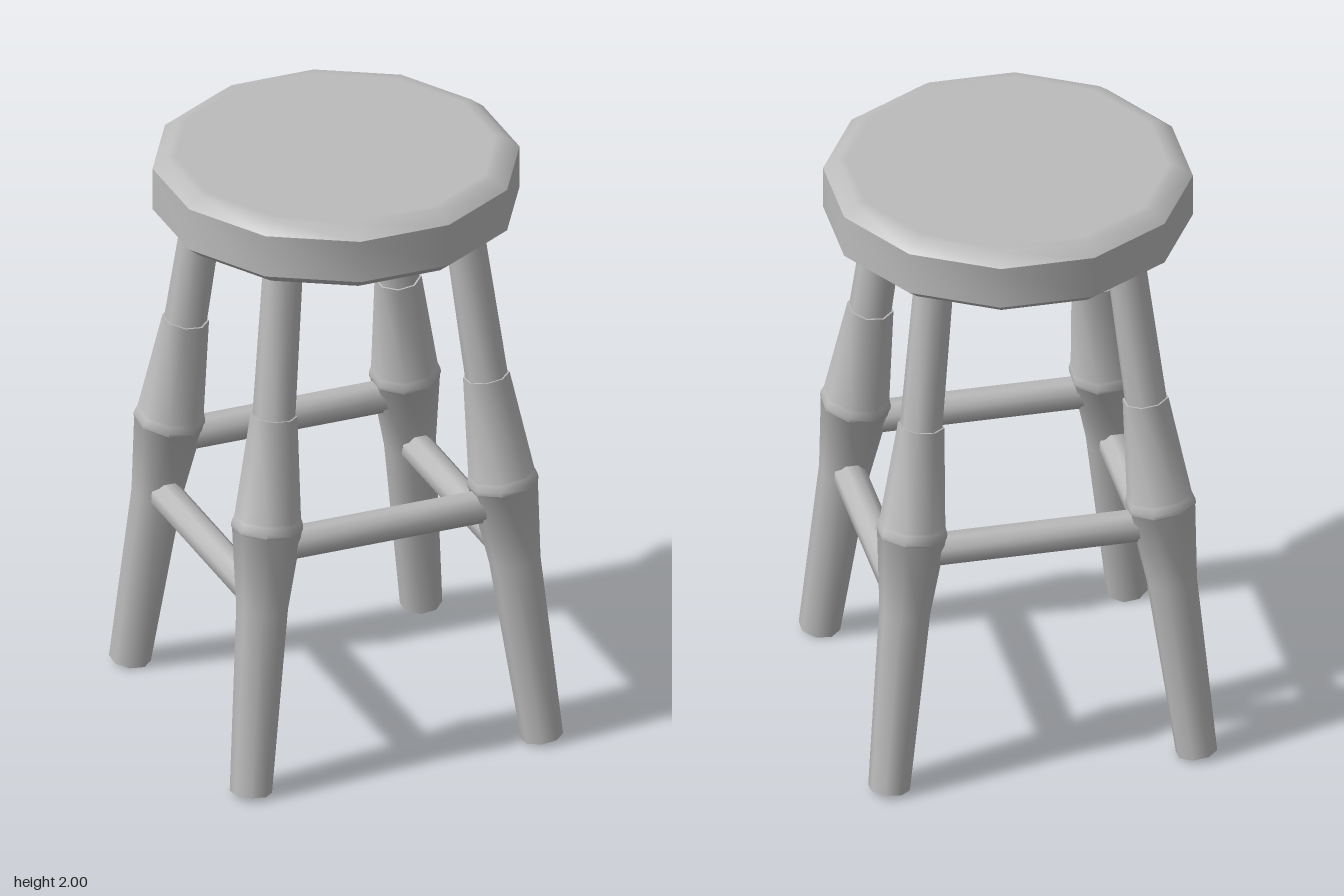
import * as THREE from 'three';
import { toCreasedNormals } from 'three/addons/utils/BufferGeometryUtils.js';

const grey = new THREE.MeshStandardMaterial({ color: 0xbbbbbb });
grey.name = 'plain grey';

// Turned part with flat sides facing the axes; radii are measured to the flats
function turned(name, profile, sides) {
  const k = 1 / Math.cos(Math.PI / sides);
  const points = profile.map(([r, y]) => new THREE.Vector2(r * k, y));
  const lathe = new THREE.LatheGeometry(points, sides, Math.PI / sides);
  const mesh = new THREE.Mesh(toCreasedNormals(lathe, THREE.MathUtils.degToRad(50)), grey);
  mesh.name = name;
  return mesh;
}

const FOOT = 0.507;
const LEAN = 0.108; // inward shift per unit of height, in x and in z
const legOffset = (y) => FOOT - LEAN * y;

export function createModel() {
  const stool = new THREE.Group();
  stool.name = 'stool';

  // Twelve-sided seat with bevelled rims
  stool.add(turned('seat', [
    [0, 1.78], [0.5, 1.78], [0.53, 1.78], [0.575, 1.817],
    [0.575, 1.963], [0.53, 2], [0.5, 2], [0, 2],
  ], 12));

  // Leg profile, foot to top: taper, swell, bead, collar, thin upper stem
  const stretch = Math.hypot(1, LEAN, LEAN);
  const legProfile = [
    [0, 0], [0.063, 0], [0.077, 0.62], [0.104, 0.885], [0.107, 0.89],
    [0.107, 0.905], [0.101, 0.925], [0.099, 0.93], [0.07, 1.27],
    [0.064, 1.27], [0.059, 1.83], [0, 1.83],
  ].map(([r, y]) => [r, y * stretch]);

  const up = new THREE.Vector3(0, 1, 0);
  for (const sx of [-1, 1]) {
    for (const sz of [-1, 1]) {
      const side = sx > 0 ? 'Left' : 'Right';
      const leg = turned((sz > 0 ? 'front' : 'back') + side + 'Leg', legProfile, 8);
      leg.position.set(sx * FOOT, 0.01, sz * FOOT);
      const axis = new THREE.Vector3(-sx * LEAN, 1, -sz * LEAN).normalize();
      leg.quaternion.setFromUnitVectors(up, axis);
      stool.add(leg);
    }
  }

  // Rungs between leg centres: high at front and back, low at the sides
  const rung = (name, y) => {
    const h = legOffset(y);
    const mesh = turned(name, [[0, -h], [0.05, -h], [0.05, h], [0, h]], 8);
    mesh.position.y = y;
    stool.add(mesh);
    return mesh;
  };
  for (const s of [-1, 1]) {
    const across = rung(s > 0 ? 'frontRung' : 'backRung', 0.833);
    across.rotation.z = Math.PI / 2;
    across.position.z = s * legOffset(0.833);
    const along = rung(s > 0 ? 'leftRung' : 'rightRung', 0.65);
    along.rotation.x = Math.PI / 2;
    along.position.x = s * legOffset(0.65);
  }
  return stool;
}
